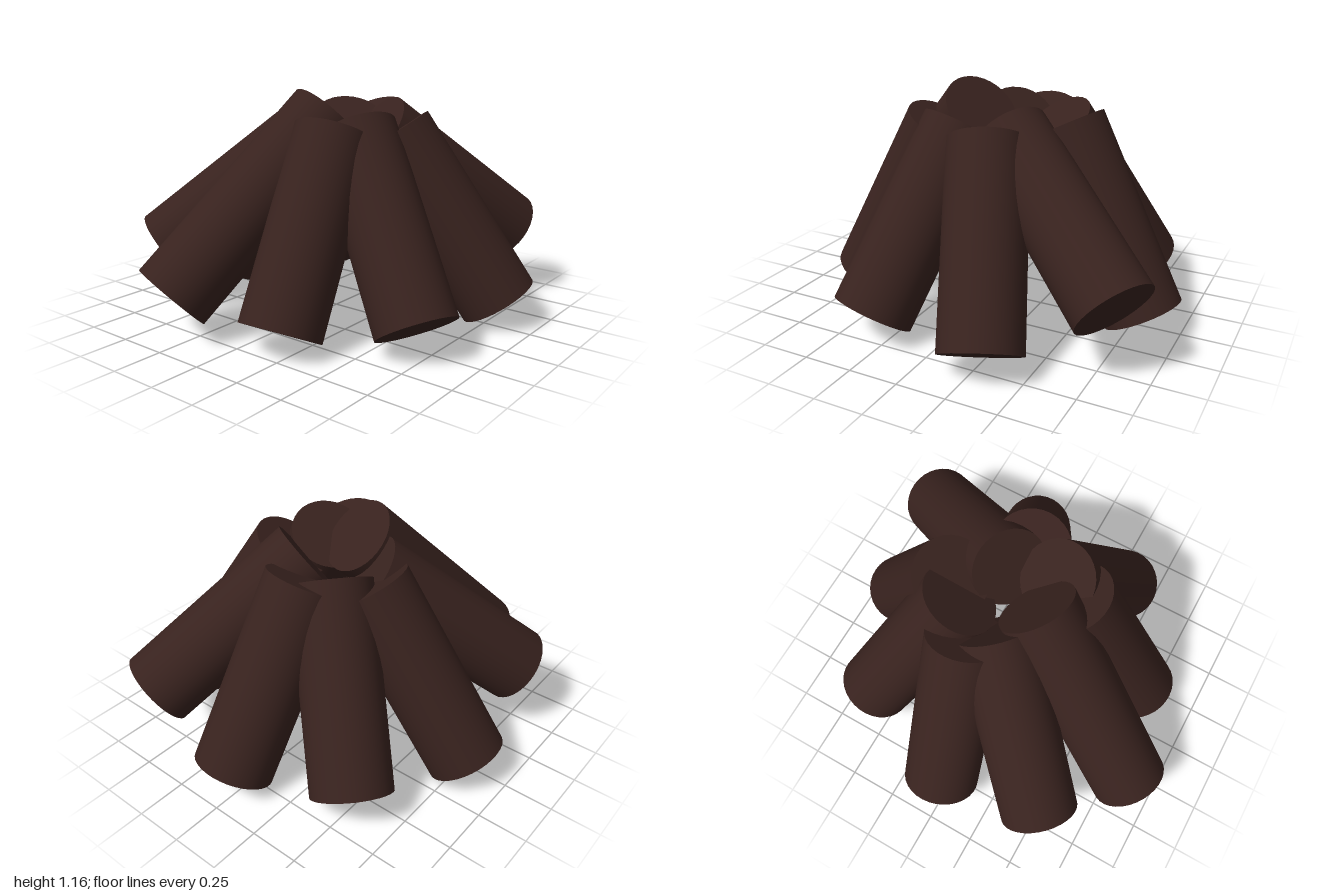
import * as THREE from 'three';

// Foot and head centres of each leaning log
const LOGS = [
  ['backLog', [0.045, 0.11, -0.79], [0.145, 0.94, -0.25]],
  ['backLeftLog', [0.625, 0.14, -0.53], [0.26, 0.96, -0.11]],
  ['leftLog', [0.82, 0.1, 0.055], [0.35, 0.975, -0.035]],
  ['frontLeftLog', [0.835, 0.353, 0.555], [0.135, 0.943, 0.155]],
  ['frontLog', [0.31, 0.115, 0.79], [0.09, 0.945, 0.29]],
  ['frontRightLog', [-0.32, 0.135, 0.71], [-0.1, 0.965, 0.2]],
  ['rightLog', [-0.67, 0.1, 0.2], [-0.215, 0.965, 0.16]],
  ['longRightLog', [-0.85, 0.21, -0.325], [-0.09, 1.02, 0.01]],
  ['backRightLog', [-0.52, 0.32, -0.72], [0.04, 0.93, -0.16]],
];

const RADIUS = 0.2;

// Straight log running from foot to head
function makeLog(name, foot, head, material) {
  const a = new THREE.Vector3(...foot);
  const b = new THREE.Vector3(...head);
  const axis = b.clone().sub(a);
  const log = new THREE.Mesh(
    new THREE.CylinderGeometry(RADIUS, RADIUS, axis.length(), 32),
    material
  );
  log.name = name;
  log.position.copy(a).add(b).multiplyScalar(0.5);
  log.quaternion.setFromUnitVectors(new THREE.Vector3(0, 1, 0), axis.normalize());
  return log;
}

export function createModel() {
  const group = new THREE.Group();
  group.name = 'logPile';
  const bark = new THREE.MeshStandardMaterial({ color: 0x38221e });
  for (const [name, foot, head] of LOGS) group.add(makeLog(name, foot, head, bark));
  return group;
}
